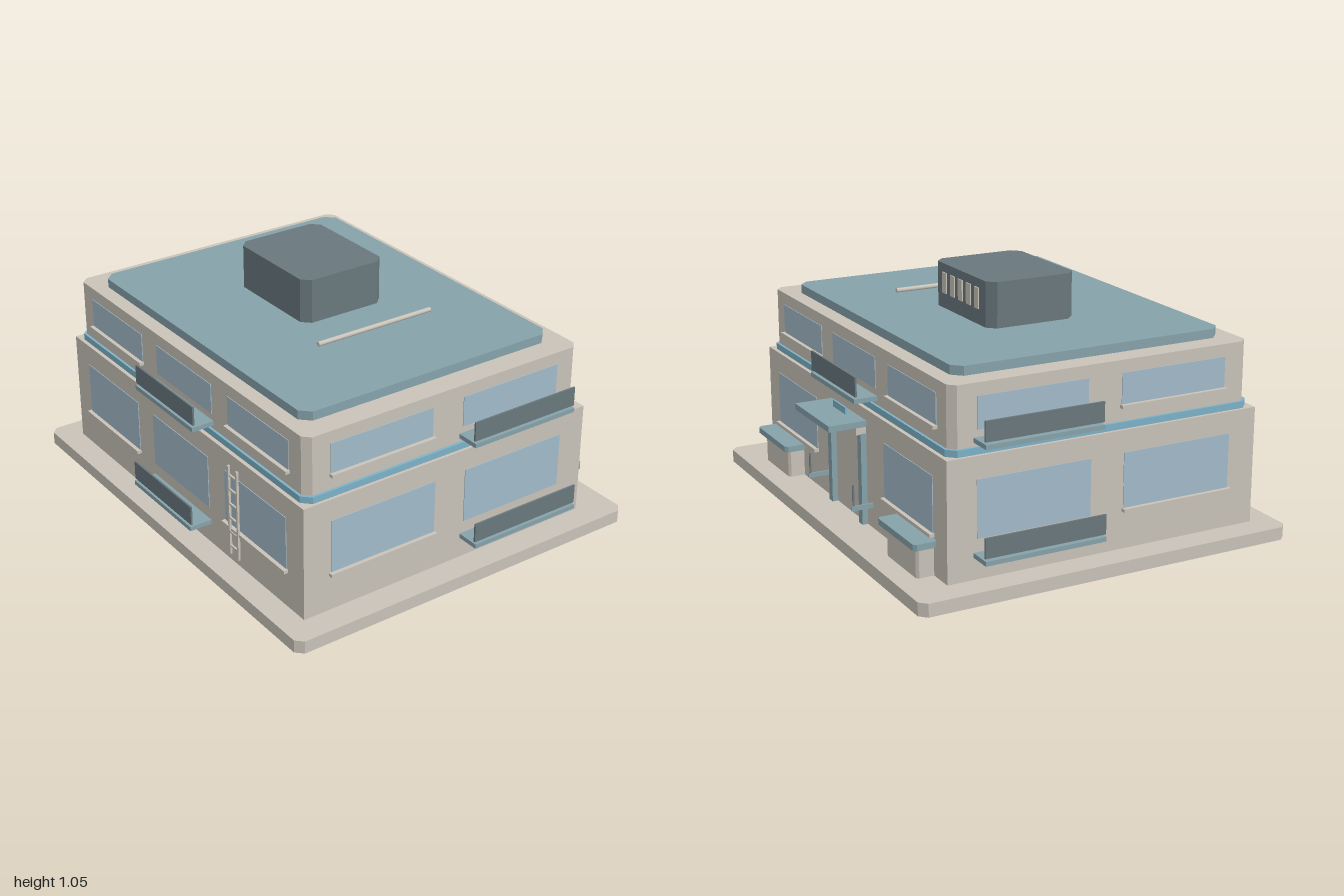
import * as THREE from 'three';

export function createModel() {
  const root = new THREE.Group();
  const mat = (name, color) => {
    const m = new THREE.MeshStandardMaterial({ color });
    m.name = name;
    return m;
  };
  const stone = mat('stone', 0xc9c3b9);
  const teal = mat('teal', 0x86a2aa);
  const bandBlue = mat('band blue', 0x7db2c7);
  const glass = mat('glass', 0xa2bbca);
  const dark = mat('dark grey', 0x69787d);

  const add = (name, geo, material) => {
    const m = new THREE.Mesh(geo, material);
    m.name = name;
    root.add(m);
    return m;
  };
  // Box given by its limits
  const box = (name, m, x0, x1, y0, y1, z0, z1) =>
    add(name, new THREE.BoxGeometry(x1 - x0, y1 - y0, z1 - z0), m)
      .position.set((x0 + x1) / 2, (y0 + y1) / 2, (z0 + z1) / 2);
  // Slab with chamfered vertical corners
  const slab = (name, m, x0, x1, y0, y1, z0, z1, c) => {
    const s = new THREE.Shape([
      [x0 + c, -z0], [x0, -z0 - c], [x0, -z1 + c], [x0 + c, -z1],
      [x1 - c, -z1], [x1, -z1 + c], [x1, -z0 - c], [x1 - c, -z0],
    ].map(([x, y]) => new THREE.Vector2(x, y)));
    const g = new THREE.ExtrudeGeometry(s, { depth: y1 - y0, bevelEnabled: false });
    g.rotateX(-Math.PI / 2).translate(0, y0, 0);
    add(name, g, m);
  };
  // Box on a wall: u runs along the wall, d0..d1 outwards from the wall plane
  const onWall = (name, m, wall, u0, u1, y0, y1, d0, d1) => {
    const a = wall.sign * (wall.at + d0), b = wall.sign * (wall.at + d1);
    const lo = Math.min(a, b), hi = Math.max(a, b);
    if (wall.axis === 'z') box(name, m, u0, u1, y0, y1, lo, hi);
    else box(name, m, lo, hi, y0, y1, u0, u1);
  };

  // Stacked masses
  slab('base', stone, -0.83, 0.83, 0, 0.055, -1, 1, 0.03);
  box('lowerStorey', stone, -0.725, 0.665, 0.055, 0.547, -0.885, 0.885);
  slab('floorBand', bandBlue, -0.708, 0.648, 0.547, 0.575, -0.872, 0.872, 0.035);
  slab('upperStorey', stone, -0.697, 0.637, 0.575, 0.822, -0.86, 0.86, 0.03);
  slab('roof', teal, -0.633, 0.568, 0.822, 0.86, -0.763, 0.758, 0.04);

  // Roof housing with vents, and a pipe
  slab('roofHousing', dark, -0.2, 0.2, 0.86, 1.05, -0.352, 0.138, 0.035);
  for (let i = 0; i < 5; i++) {
    const z = 0.038 - i * 0.071;
    box('vent', stone, 0.196, 0.205, 0.925, 1.013, z - 0.018, z + 0.018);
  }
  const pipe = add('roofPipe', new THREE.CylinderGeometry(0.01, 0.01, 0.56, 12), stone);
  pipe.rotation.z = Math.PI / 2;
  pipe.position.set(0, 0.88, 0.345);

  // Wall fittings
  const window_ = (w, u0, u1, y0, y1) => onWall('window', glass, w, u0, u1, y0, y1, -0.003, 0.003);
  const sill = (w, u0, u1, y) => onWall('sill', stone, w, u0, u1, y, y + 0.014, 0, 0.02);
  const balcony = (w, u0, u1, y) => {
    onWall('balconySlab', teal, w, u0, u1, y, y + 0.019, 0, 0.1);
    onWall('balconyPanel', dark, w, u0, u1, y + 0.028, y + 0.11, 0.088, 0.096);
  };

  // Front and back
  for (const sign of [1, -1]) {
    const low = { axis: 'z', sign, at: 0.885 }, up = { axis: 'z', sign, at: 0.86 };
    window_(low, -0.6, -0.105, 0.22, 0.455);
    window_(low, 0.045, 0.54, 0.22, 0.455);
    window_(up, -0.585, -0.105, 0.64, 0.77);
    window_(up, 0.045, 0.525, 0.64, 0.77);
    sill(low, -0.61, -0.1, 0.212);
    sill(up, -0.59, -0.098, 0.63);
    balcony(low, 0.03, 0.555, 0.146);
    balcony(up, 0.03, 0.54, 0.592);
  }

  // Left and right sides
  for (const sign of [1, -1]) {
    const low = { axis: 'x', sign, at: sign > 0 ? 0.665 : 0.725 };
    const up = { axis: 'x', sign, at: sign > 0 ? 0.637 : 0.697 };
    for (const s of [1, -1]) {
      const span = (f, w, a, b, ...r) => f(w, Math.min(s * a, s * b), Math.max(s * a, s * b), ...r);
      span(window_, low, 0.34, 0.77, 0.22, 0.455);
      span(window_, up, 0.33, 0.75, 0.64, 0.77);
      span(sill, low, 0.335, 0.78, 0.212);
      span(sill, up, 0.325, 0.757, 0.63);
    }
    window_(up, -0.21, 0.21, 0.64, 0.77);
    balcony(up, -0.222, 0.222, 0.592);
    if (sign < 0) {
      window_(low, -0.215, 0.215, 0.22, 0.455);
      balcony(low, -0.225, 0.225, 0.146);
    }
  }

  // Entrance: posts, lintel, canopy, lamp and sign plate
  for (const s of [1, -1]) {
    const z = s * 0.153;
    box('doorPost', teal, 0.665, 0.69, 0.055, 0.445, z - 0.017, z + 0.017);
    box('sideBracket', teal, 0.665, 0.76, 0.145, 0.165, s * 0.224 - 0.004, s * 0.224 + 0.004);
    box('sideRail', dark, 0.748, 0.756, 0.165, 0.255, s * 0.224 - 0.002, s * 0.224 + 0.002);
  }
  box('lintel', stone, 0.665, 0.71, 0.442, 0.474, -0.17, 0.17);
  box('canopy', teal, 0.665, 0.83, 0.474, 0.5, -0.175, 0.175);
  box('canopyLamp', stone, 0.738, 0.752, 0.465, 0.474, -0.13, 0.13);
  box('signPlate', bandBlue, 0.7, 0.708, 0.5, 0.529, -0.062, 0.062);

  // Benches beside the entrance
  for (const s of [1, -1]) {
    const z = s * 0.64;
    slab('benchSeat', teal, 0.665, 0.763, 0.18, 0.206, z - 0.165, z + 0.165, 0.012);
    slab('benchBase', stone, 0.655, 0.738, 0.055, 0.18, z - 0.135, z + 0.135, 0.01);
  }

  // Ladder on the far side wall
  for (const z of [0.4, 0.46]) box('ladderRail', stone, -0.75, -0.74, 0.105, 0.51, z - 0.005, z + 0.005);
  for (let i = 0; i < 6; i++) {
    const y = 0.145 + i * 0.065;
    box('ladderRung', stone, -0.749, -0.741, y - 0.004, y + 0.004, 0.4, 0.46);
  }

  return root;
}
